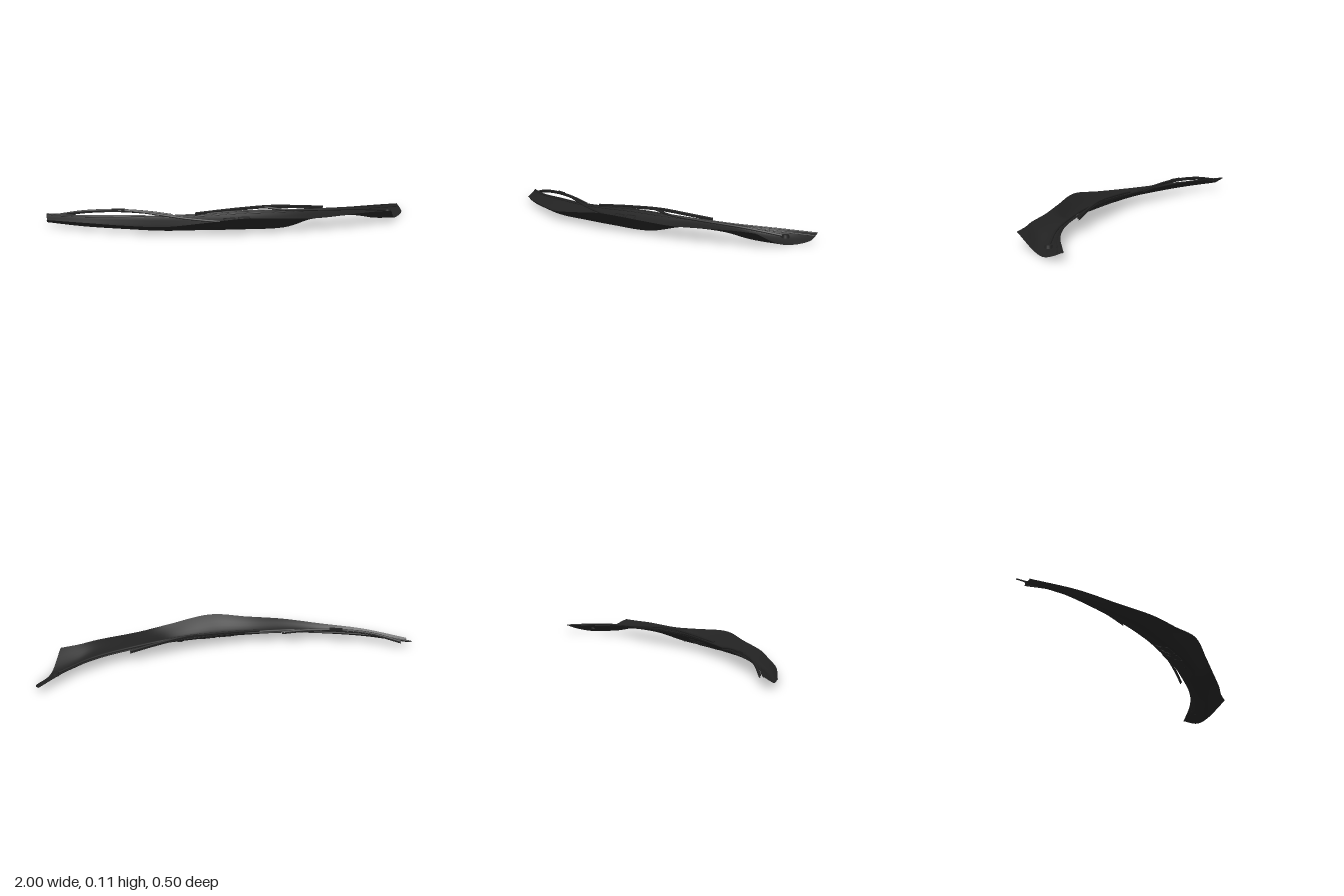
import * as THREE from 'three';

const material = new THREE.MeshStandardMaterial({ color: 0x222222, roughness: 0.8, side: THREE.DoubleSide });
const V = (x, y, z) => new THREE.Vector3(x, y, z);

// Cross-sections of the panel: x, then y,z of back edge, wall foot, trough floor, front lip
const stations = [
  [-1.0, .055, -.25, .035, -.22, .02, -.188, .035, -.17],
  [-.8, .060, -.135, .042, -.11, .016, -.06, .042, -.025],
  [-.6, .066, -.07, .045, -.04, .014, .03, .042, .083],
  [-.4, .068, -.02, .045, .015, .012, .10, .048, .18],
  [-.2, .075, .005, .046, .045, .012, .125, .068, .215],
  [0, .085, .01, .048, .055, .012, .142, .09, .245],
  [.25, .083, .005, .05, .05, .014, .135, .075, .208],
  [.42, .077, -.015, .056, .02, .046, .07, .065, .178],
  [.65, .07, -.06, .048, -.02, .044, .04, .071, .128],
  [.82, .062, -.13, .028, -.085, .017, .0, .071, .10],
  [1.0, .042, -.25, .012, -.17, .001, -.06, .07, .085],
];
const endX = [1, 1, .92, .85]; // the +x end is cut at a slant

const rails = endX.map((end, k) => new THREE.CatmullRomCurve3(stations.map(s => {
  const x = s[0] > .65 ? .65 + (s[0] - .65) * (end - .65) / .35 : s[0];
  return V(x, s[1 + 2 * k], s[2 + 2 * k]);
})));

// Point on the panel: x position along it, v from 0 at the back to 1 at the lip
function panelPoint(x, v, lift = 0) {
  let i = 0;
  while (i < stations.length - 2 && x > stations[i + 1][0]) i++;
  const f = (x - stations[i][0]) / (stations[i + 1][0] - stations[i][0]);
  const t = THREE.MathUtils.clamp((i + f) / (stations.length - 1), 0, 1);
  const p = new THREE.CatmullRomCurve3(rails.map(r => r.getPoint(t))).getPoint(v);
  p.y += lift;
  return p;
}

function add(parent, name, geometry) {
  const mesh = new THREE.Mesh(geometry, material);
  mesh.name = name;
  parent.add(mesh);
  return mesh;
}

function rod(parent, name, points, radius, sides = 6, segments = 32) {
  return add(parent, name, new THREE.TubeGeometry(new THREE.CatmullRomCurve3(points), segments, radius, sides));
}

function disc(parent, name, p, radius, height) {
  add(parent, name, new THREE.CylinderGeometry(radius * .85, radius, height, 20)).position.copy(p);
}

// Wiper: curved blade with rubber, a bridge clip, and an arm running back to its pivot
function wiper(name, bladePoints, armPoints, clip) {
  const g = new THREE.Group();
  g.name = name;
  rod(g, 'blade', bladePoints, .006);
  rod(g, 'bladeRubber', bladePoints.map(p => V(p.x, p.y - .009, p.z - .002)), .0035, 4);
  rod(g, 'arm', armPoints, .006);
  const box = add(g, 'bladeClip', new THREE.BoxGeometry(.07, .014, .014));
  box.position.copy(clip.p);
  box.rotation.y = clip.turn;
  const pivot = armPoints[0];
  disc(g, 'pivotCap', pivot, .02, .016);
  return g;
}

export function createModel() {
  const model = new THREE.Group();
  model.name = 'windscreenCowl';

  // Swept cowl panel
  const panel = new THREE.PlaneGeometry(1, 1, 100, 18);
  const pos = panel.attributes.position, uv = panel.attributes.uv;
  for (let i = 0; i < pos.count; i++) {
    const p = panelPoint(-1 + 2 * uv.getX(i), 1 - uv.getY(i));
    pos.setXYZ(i, p.x, p.y, p.z);
  }
  panel.computeVertexNormals();
  add(model, 'cowlPanel', panel);

  // Seal and ridge running along the back edge
  const along = (v, lift) => Array.from({ length: 31 }, (_, i) => panelPoint(-.995 + 1.99 * i / 30, v, lift));
  rod(model, 'backSeal', along(0.01, -.001), .004, 6, 90);
  rod(model, 'backRidge', along(.12, .001), .003, 6, 90);

  // Air intake frames in the trough
  for (const [x0, x1, v0, v1] of [[-.07, -.01, .28, .42], [.01, .07, .26, .4], [-.09, -.01, .45, .62], [.01, .09, .45, .62]]) {
    const corners = [[x0, v0], [x1, v0], [x1, v1], [x0, v1]];
    corners.forEach(([x, v], i) => {
      const [nx, nv] = corners[(i + 1) % 4];
      rod(model, 'intakeFrame', [panelPoint(x, v), panelPoint(nx, nv)], .003, 4, 2);
    });
  }

  // Wiper resting over the -x half
  model.add(wiper('rightWiper',
    [V(-.945, .05, -.228), V(-.8, .08, -.155), V(-.62, .092, -.093), V(-.45, .084, -.043), V(-.34, .07, -.013)],
    [panelPoint(.2, .56, .012), panelPoint(0, .5, .014), panelPoint(-.25, .36, .014), panelPoint(-.4, .12, .014), V(-.52, .085, -.062), V(-.62, .09, -.09)],
    { p: V(-.62, .092, -.093), turn: -.32 }));

  // Wiper resting over the middle and +x half
  model.add(wiper('leftWiper',
    [V(-.22, .08, .014), V(0, .096, .006), V(.2, .103, -.006), V(.35, .093, -.026), V(.5, .079, -.053)],
    [panelPoint(.9, .36, .014), panelPoint(.7, .28, .014), panelPoint(.45, .24, .014), panelPoint(.28, .14, .014), V(.16, .098, .0)],
    { p: V(.16, .1, -.003), turn: .06 }));

  return model;
}
